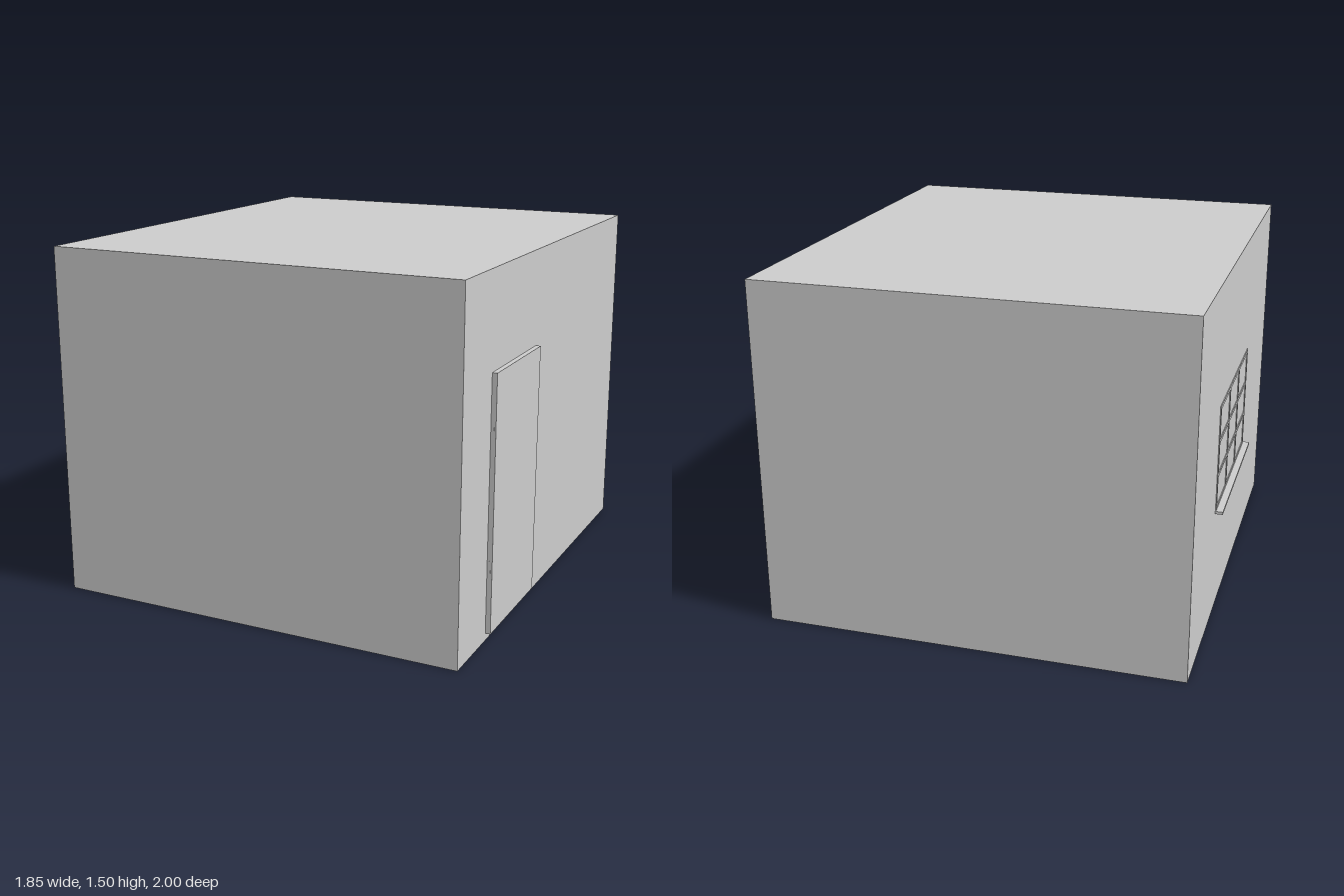
import * as THREE from 'three';

const material = new THREE.MeshStandardMaterial({ color: 0xcccccc, flatShading: true });

// Box given by its minimum and maximum corners
function addBox(parent, name, [x0, y0, z0], [x1, y1, z1]) {
  const mesh = new THREE.Mesh(new THREE.BoxGeometry(x1 - x0, y1 - y0, z1 - z0), material);
  mesh.name = name;
  mesh.position.set((x0 + x1) / 2, (y0 + y1) / 2, (z0 + z1) / 2);
  parent.add(mesh);
  return mesh;
}

export function createModel() {
  const model = new THREE.Group();
  model.name = 'building';
  const left = 0.905, right = -0.895;

  // Main block
  addBox(model, 'walls', [right, 0, -1], [left, 1.5, 1]);

  // Door slab with two hinge plates on its front edge
  const door = new THREE.Group();
  door.name = 'door';
  model.add(door);
  addBox(door, 'doorPanel', [left - 0.01, 0.03, 0.193], [0.926, 1.1, 0.704]);
  for (const y of [0.31, 0.88]) {
    addBox(door, 'hinge', [left + 0.006, y - 0.03, 0.7], [left + 0.014, y + 0.03, 0.705]);
  }

  // Window: frame and glazing bars in a three by three grid, standing just proud of the wall
  const windowGroup = new THREE.Group();
  windowGroup.name = 'window';
  model.add(windowGroup);
  const z0 = -0.445, z1 = 0.345, y0 = 0.49, y1 = 0.96;
  const face = right - 0.004, half = 0.008;
  for (let i = 0; i <= 3; i++) {
    const edge = i === 0 || i === 3;
    const z = THREE.MathUtils.lerp(z0 + half, z1 - half, i / 3);
    const y = THREE.MathUtils.lerp(y0 + half, y1 - half, i / 3);
    addBox(windowGroup, edge ? 'frameSide' : 'mullion', [face, y0, z - half], [right + 0.01, y1, z + half]);
    addBox(windowGroup, edge ? 'frameRail' : 'glazingBar', [face, y - half, z0], [right + 0.01, y + half, z1]);
  }

  // Projecting sill
  addBox(windowGroup, 'sill', [-0.928, 0.484, -0.455], [right + 0.01, 0.496, 0.355]);

  return model;
}
